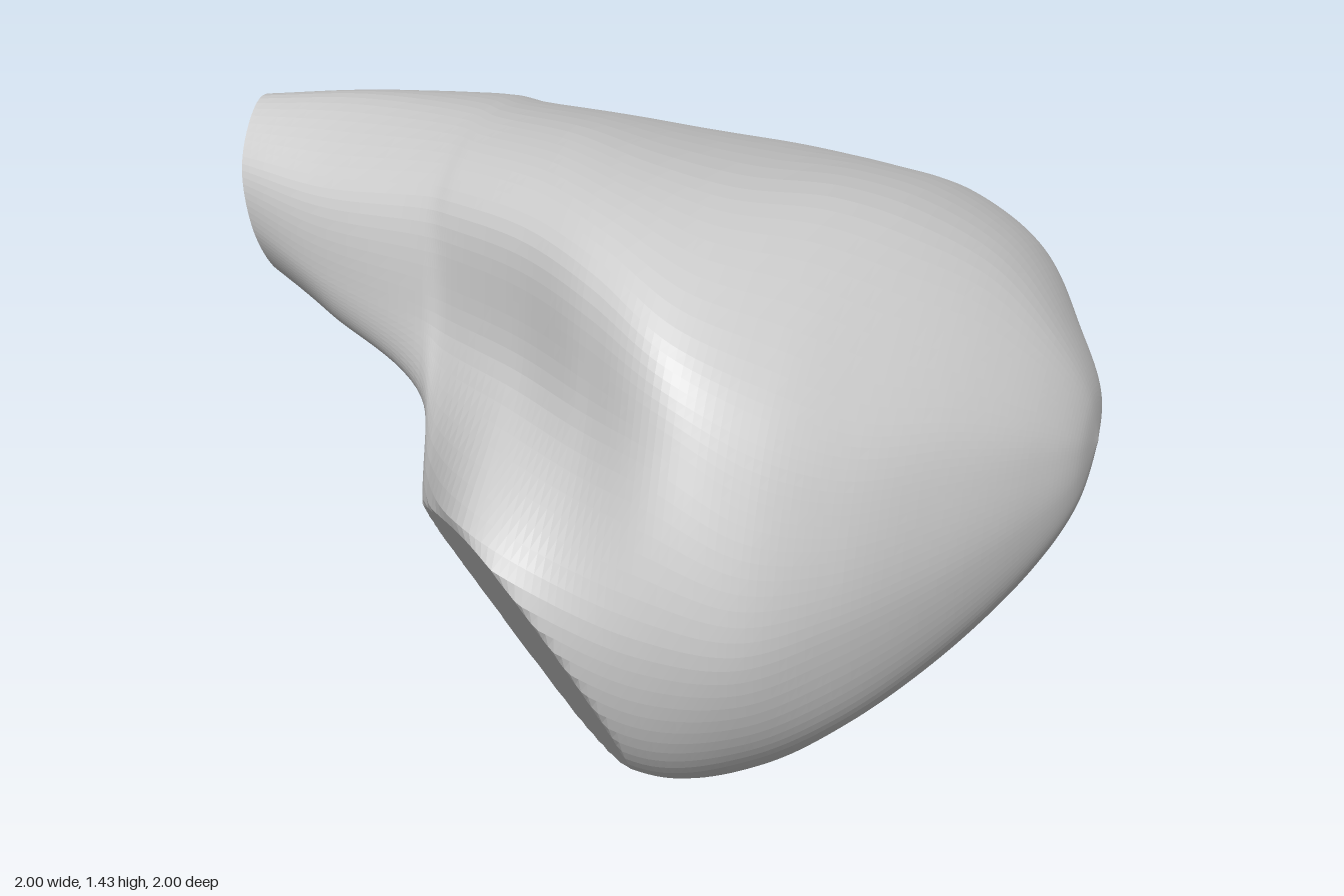
import * as THREE from 'three';

// Cross-sections at constant x: [x, z, y, z, y, ...] running from the rear ridge
// over the top, down the front and back along the hollow underside.
const NECK = [-0.76, -0.35, 1.01, -0.27, 1.24, -0.03, 1.38, 0.26, 1.28, 0.31, 1.08, 0.29, 0.99, 0.24, 0.935, 0.12, 0.905, -0.02, 0.905, -0.2, 0.94];
const BODY = [
  [-0.47, -0.54, 0.97, -0.41, 1.22, 0.02, 1.4, 0.33, 1.33, 0.42, 1.05, 0.45, 0.89, 0.41, 0.84, 0.31, 0.82, 0.1, 0.86, -0.2, 0.91],
  [-0.41, -0.57, 0.97, -0.42, 1.21, 0.06, 1.405, 0.36, 1.34, 0.44, 1.03, 0.61, 0.71, 0.6, 0.55, 0.45, 0.57, 0.2, 0.75, -0.2, 0.88],
  [-0.2, -0.68, 0.96, -0.48, 1.18, 0.13, 1.42, 0.47, 1.36, 0.57, 1.04, 0.93, 0.77, 0.8, 0.45, 0.56, 0.28, 0.2, 0.53, -0.25, 0.78],
  [0, -0.78, 0.91, -0.53, 1.15, 0.22, 1.415, 0.61, 1.345, 0.73, 1.06, 0.98, 0.71, 0.9, 0.38, 0.5, 0.1, 0.2, 0.29, -0.29, 0.63],
  [0.2, -0.87, 0.83, -0.59, 1.11, 0.24, 1.39, 0.73, 1.275, 0.86, 1.07, 0.99, 0.66, 0.87, 0.28, 0.4, 0, 0.13, 0.06, -0.35, 0.45],
  [0.4, -0.95, 0.73, -0.65, 1.05, 0.13, 1.34, 0.7, 1.18, 0.86, 0.96, 0.94, 0.63, 0.8, 0.3, 0.38, 0.065, -0.2, 0.11, -0.64, 0.44],
  [0.57, -1, 0.67, -0.7, 0.99, 0.06, 1.265, 0.61, 1.08, 0.75, 0.89, 0.8, 0.65, 0.69, 0.36, 0.3, 0.175, -0.36, 0.21, -0.82, 0.45],
];
const INLET_ANGLES = [205, 150, 95, 35, 355, 320, 295, 270, 250, 228];
const COUNT = INLET_ANGLES.length;
const AROUND = 96, ALONG = 132;

// Flat cut across the front mouth
const MOUTH = new THREE.Plane().setFromNormalAndCoplanarPoint(
  new THREE.Vector3(-0.634, -0.437, 0.638).normalize(), new THREE.Vector3(-0.13, 0.5, 0.75));

function controlSections() {
  // slanted oval end of the neck
  const inlet = INLET_ANGLES.map((deg) => {
    const a = THREE.MathUtils.degToRad(deg);
    const y = 1.155 + 0.215 * Math.sin(a);
    return new THREE.Vector3(-0.96 - 0.19 * (y - 1.155), y, 0.04 + 0.19 * Math.cos(a));
  });
  const body = [NECK, ...BODY].map(([x, ...zy]) =>
    Array.from({ length: COUNT }, (_, k) => new THREE.Vector3(x, zy[2 * k + 1], zy[2 * k])));
  // rounded side: the last section shrinks to a point [x, y scale, z scale, z centre]
  const last = body[body.length - 1];
  const dome = [[0.75, 0.77, 0.78, -0.27], [0.9, 0.47, 0.44, -0.07], [0.975, 0.23, 0.22, -0.05], [1, 0, 0, -0.05]]
    .map(([x, sy, sz, cz]) =>
      last.map((p) => new THREE.Vector3(x, 0.72 + (p.y - 0.72) * sy, cz + (p.z - cz) * sz)));
  return [inlet, ...body, ...dome];
}

function makeRings() {
  const sections = controlSections();
  const rails = INLET_ANGLES.map((_, k) => new THREE.CatmullRomCurve3(sections.map((s) => s[k])));
  const rings = [];
  for (let i = 0; i <= ALONG; i++) {
    const loop = new THREE.CatmullRomCurve3(rails.map((r) => r.getPoint(i / ALONG)), true);
    const ring = [];
    for (let j = 0; j < AROUND; j++) {
      const p = loop.getPoint(j / AROUND);
      const over = MOUTH.distanceToPoint(p);
      if (over > 0) p.addScaledVector(MOUTH.normal, -over);
      ring.push(p);
    }
    rings.push(ring);
  }
  return rings;
}

function makeMesh(name, points, index) {
  const geometry = new THREE.BufferGeometry().setFromPoints(points);
  geometry.setIndex(index);
  geometry.computeVertexNormals();
  const material = new THREE.MeshStandardMaterial({ color: 0xcccccc, flatShading: true, side: THREE.DoubleSide });
  const mesh = new THREE.Mesh(geometry, material);
  mesh.name = name;
  return mesh;
}

export function createModel() {
  const group = new THREE.Group();
  group.name = 'curvedChamber';
  const rings = makeRings();

  // Chamber wall, lofted from the neck to the rounded side
  const wall = [];
  for (let i = 0; i < ALONG; i++) {
    for (let j = 0; j < AROUND; j++) {
      const a = i * AROUND + j, b = i * AROUND + ((j + 1) % AROUND);
      wall.push(a, b, a + AROUND, b, b + AROUND, a + AROUND);
    }
  }
  group.add(makeMesh('chamberWall', rings.flat(), wall));

  // Flat cap on the neck
  const centre = rings[0].reduce((sum, p) => sum.add(p), new THREE.Vector3()).divideScalar(AROUND);
  const cap = [];
  for (let j = 0; j < AROUND; j++) cap.push(AROUND, (j + 1) % AROUND, j);
  group.add(makeMesh('neckCap', [...rings[0], centre], cap));
  return group;
}
